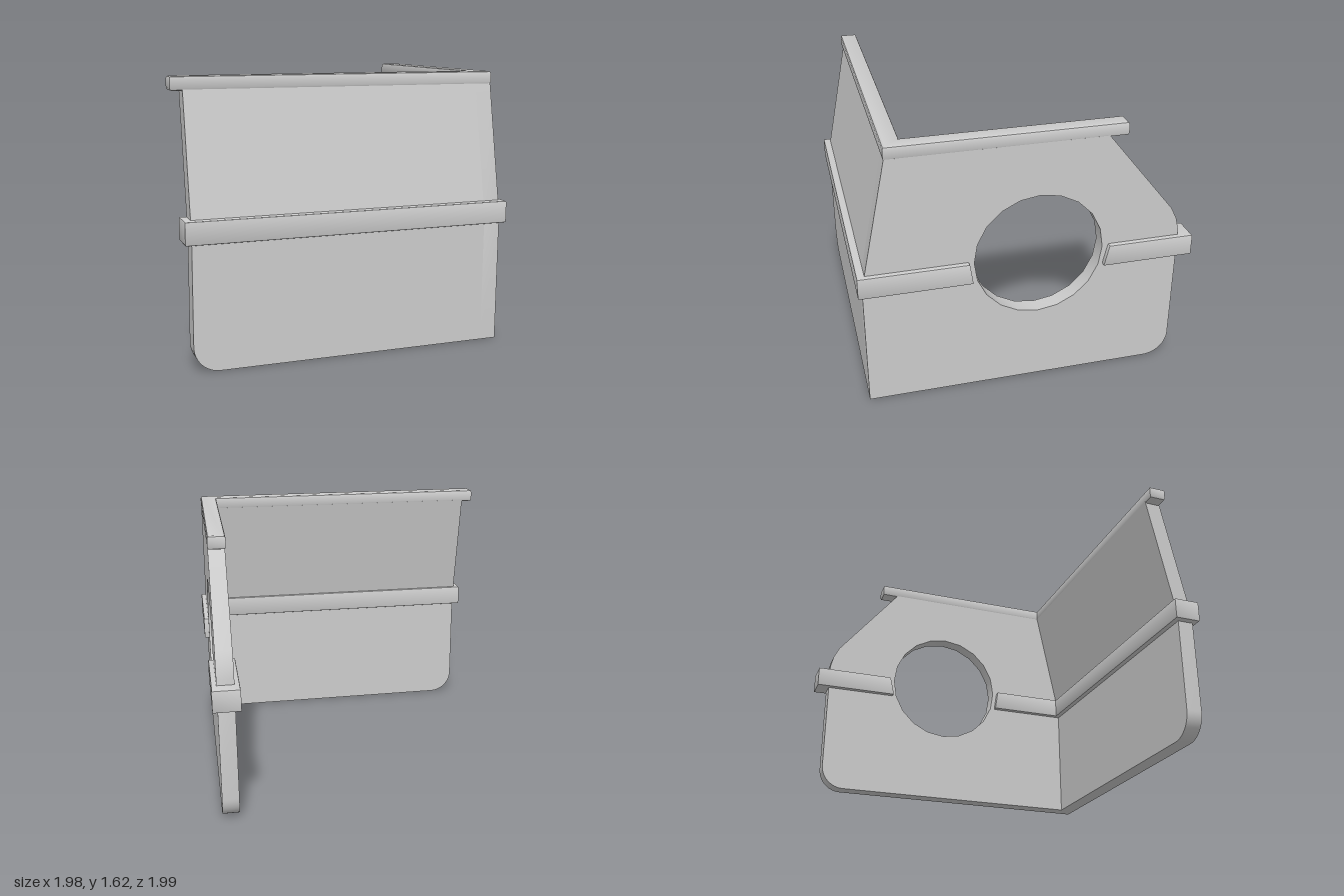
import * as THREE from 'three';
import { toCreasedNormals } from 'three/addons/utils/BufferGeometryUtils.js';

const T = 0.1; // wall thickness
const X0 = -0.92, X1 = 0.96; // front wall end, outer corner
const Z0 = -0.915, Z1 = 0.97; // side wall end, outer corner
const KINK = 0.77, TOP = 1.55, ZTOP = 0.81; // where the front starts to lean, and its top

const material = new THREE.MeshStandardMaterial({ color: 0xcccccc });
const points = (list) => list.map(([x, y]) => new THREE.Vector2(x, y));

// Extrusion whose overall size stays equal to the outline and depth, bevel included
function extrude(shape, depth, bevel = 0) {
  const geo = new THREE.ExtrudeGeometry(shape, {
    depth: depth - 2 * bevel, curveSegments: 6, bevelEnabled: bevel > 0,
    bevelSize: bevel, bevelThickness: bevel, bevelOffset: -bevel, bevelSegments: 2,
  });
  return geo.translate(0, 0, bevel);
}

// Horizontal strip from a plan outline of [x, z] corners
function strip(plan, y0, y1, bevel) {
  const shape = new THREE.Shape(points(plan.map(([x, z]) => [x, -z])));
  return extrude(shape, y1 - y0, bevel).rotateX(-Math.PI / 2).translate(0, y0, 0);
}

// L-shaped plan, counter-clockwise from the outer corner
function lPlan(xOut, zOut, xEnd, zEnd, w) {
  return [[xOut, zOut], [xOut, zEnd], [xOut - w, zEnd],
    [xOut - w, zOut - w], [xEnd, zOut - w], [xEnd, zOut]];
}

// Tilt the strip end near z = zEnd
function slantEnd(geo, zEnd, slope) {
  const p = geo.attributes.position;
  for (let i = 0; i < p.count; i++) {
    if (Math.abs(p.getZ(i) - zEnd) < 0.05) p.setZ(i, p.getZ(i) + (p.getY(i) - 0.79) * slope);
  }
  return geo;
}

export function createModel() {
  const model = new THREE.Group();
  const add = (name, geo) => {
    const mesh = new THREE.Mesh(toCreasedNormals(geo, 0.5), material);
    mesh.name = name;
    model.add(mesh);
  };

  // Lower front wall with one rounded bottom corner
  const r = 0.15;
  const lower = new THREE.Shape();
  lower.moveTo(X1 - T, 0);
  lower.lineTo(X1 - T, KINK);
  lower.lineTo(X0, KINK);
  lower.lineTo(X0, r);
  lower.absarc(X0 + r, r, r, Math.PI, Math.PI * 1.5);
  add('frontWallLower', extrude(lower, T).translate(0, 0, Z1 - T));

  // Upper front wall leaning inwards (profile is drawn in -z, y)
  const upper = new THREE.Shape(points([
    [-Z1, KINK], [-Z1 + T, KINK], [-ZTOP + T, TOP], [-ZTOP, TOP],
  ]));
  add('frontWallUpper', extrude(upper, X1 - T - X0).rotateY(Math.PI / 2).translate(X0, 0, 0));

  // Side wall with sloping shoulder and a 20-sided opening
  const side = new THREE.Shape();
  side.moveTo(-Z1, 0);
  side.lineTo(-Z0 - r, 0);
  side.absarc(-Z0 - r, r, r, -Math.PI / 2, 0);
  [[-Z0, 0.89], [0.895, 0.97], [0.86, 1.04], [0.445, TOP], [-ZTOP, TOP], [-Z1, KINK]]
    .forEach(([u, y]) => side.lineTo(u, y));
  const hole = [];
  for (let i = 0; i < 20; i++) {
    const a = (-i / 20) * Math.PI * 2;
    hole.push([0.055 + 0.384 * Math.cos(a), 0.846 + 0.384 * Math.sin(a)]);
  }
  side.holes.push(new THREE.Path(points(hole)));
  add('sideWall', extrude(side, T).rotateY(Math.PI / 2).translate(X1 - T, 0, 0));

  // Rounded cap rail along the top of both walls
  add('topRail', strip(lPlan(X1 + 0.002, ZTOP + 0.004, -0.99, -0.556, 0.105), 1.54, 1.62, 0.015));

  // Belt moulding around both walls, interrupted by the opening
  const belt = strip(lPlan(0.99, 0.997, -0.96, 0.35, 0.16), 0.725, 0.857, 0.008);
  add('beltFront', slantEnd(belt, 0.35, 0.15));
  const rear = strip([[0.99, -0.46], [0.99, -0.997], [0.83, -0.997], [0.83, -0.46]], 0.725, 0.857, 0.008);
  add('beltRear', slantEnd(rear, -0.46, -0.23));

  return model;
}
